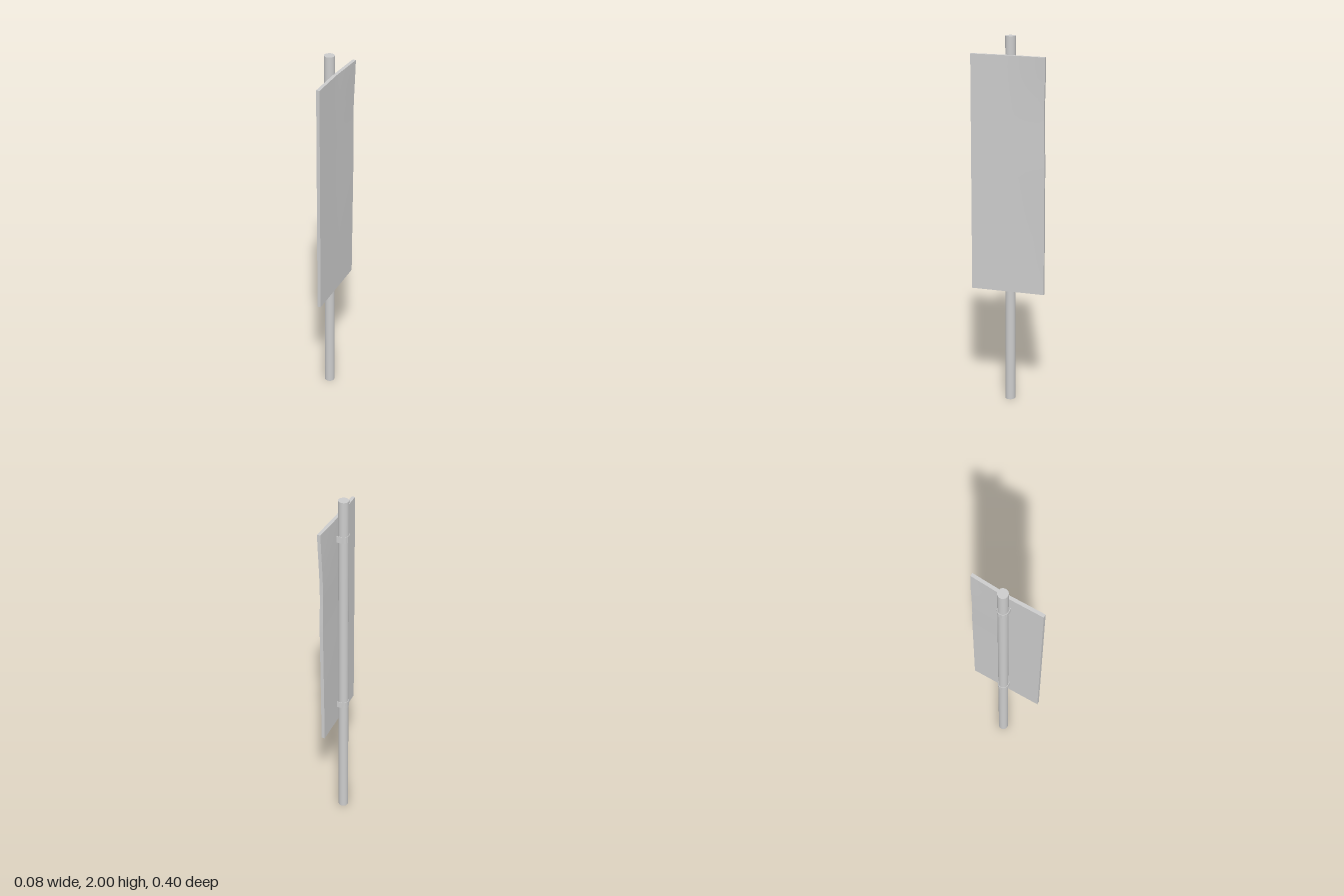
import * as THREE from 'three';
import { toCreasedNormals } from 'three/addons/utils/BufferGeometryUtils.js';

export function createModel() {
  const group = new THREE.Group();
  const material = new THREE.MeshStandardMaterial({ color: 0xcccccc });
  const add = (name, geometry, x, y, z) => {
    const mesh = new THREE.Mesh(geometry, material);
    mesh.name = name;
    mesh.position.set(x, y, z);
    group.add(mesh);
    return mesh;
  };
  const poleX = -0.014, poleZ = -0.003, poleR = 0.027;

  // Upright post
  add('pole', new THREE.CylinderGeometry(poleR, poleR, 2, 32), poleX, 1, poleZ);

  // Sign board: a thin slab whose rear half is bent, most of all at the top corner
  const width = 0.4, height = 1.27, thick = 0.018;
  const bends = [[0, 0], [0.3, 0.002], [0.55, 0.004], [0.75, 0.003], [0.87, 0.006], [1, 0.012]];
  const bendAt = (t) => {
    const i = Math.max(1, bends.findIndex(([k]) => k >= t - 1e-6));
    const [a, va] = bends[i - 1], [b, vb] = bends[i];
    return va + (vb - va) * (t - a) / (b - a);
  };
  const board = new THREE.BoxGeometry(thick, height, width, 1, 24, 12);
  const p = board.attributes.position;
  for (let i = 0; i < p.count; i++) {
    const t = Math.min(1, Math.max(0, p.getY(i) / height + 0.5));
    const z = p.getZ(i);
    const rear = Math.max(0, -z / (width / 2));
    p.setX(i, p.getX(i) + bendAt(t) * rear);
    // Shallow dent in the rear edge
    const dent = t > 0.58 && t < 0.9 ? Math.sin(Math.PI * (t - 0.58) / 0.32) : 0;
    if (rear > 0.99) p.setZ(i, z + 0.005 * dent);
  }
  add('signBoard', toCreasedNormals(board, 0.5), 0.0195, 1.27, 0);

  // U-shaped clamps holding the board to the post
  const inner = poleR - 0.0005, outer = 0.0295, reach = 0.026;
  const strap = new THREE.Shape();
  strap.moveTo(reach, outer);
  strap.lineTo(0, outer);
  strap.absarc(0, 0, outer, Math.PI / 2, Math.PI * 1.5, false);
  strap.lineTo(reach, -outer);
  strap.lineTo(reach, -inner);
  strap.lineTo(0, -inner);
  strap.absarc(0, 0, inner, Math.PI * 1.5, Math.PI / 2, true);
  strap.lineTo(reach, inner);
  strap.closePath();
  const clamp = toCreasedNormals(
    new THREE.ExtrudeGeometry(strap, { depth: 0.036, bevelEnabled: false, curveSegments: 20 })
      .translate(0, 0, -0.018).rotateX(-Math.PI / 2), 0.6);
  for (const [name, y] of [['lowerClamp', 0.745], ['upperClamp', 1.79]]) {
    add(name, clamp, poleX, y, poleZ);
  }
  return group;
}
